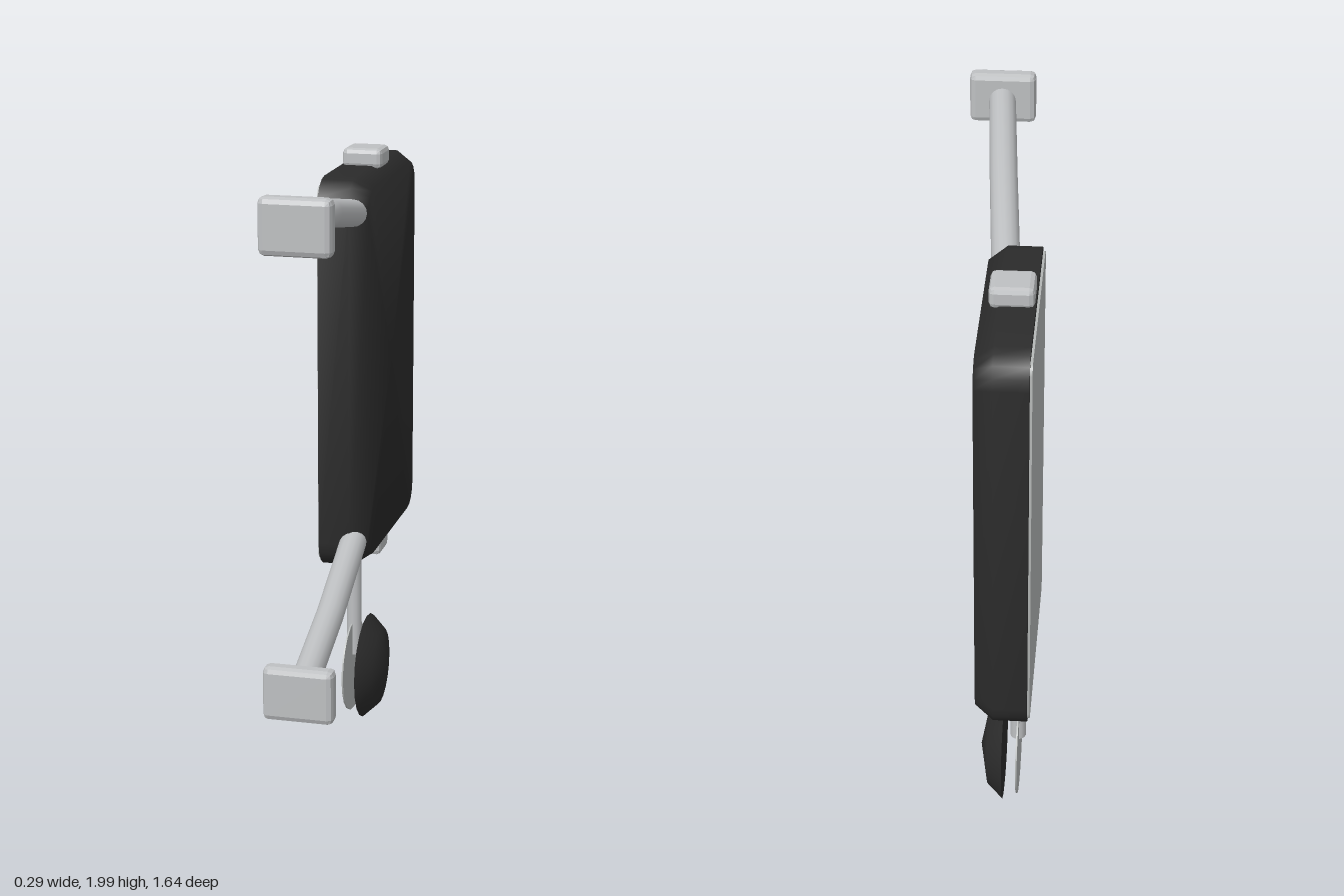
import * as THREE from 'three';
import { toCreasedNormals } from 'three/addons/utils/BufferGeometryUtils.js';
import { RoundedBoxGeometry } from 'three/addons/geometries/RoundedBoxGeometry.js';

const mat = (name, color) => {
  const m = new THREE.MeshStandardMaterial({ color });
  m.name = name;
  return m;
};

// Outline of a rounded rectangle, as [y, z] pairs around its centre
function roundedOutline(h, w, r, steps = 4) {
  const pts = [];
  for (let c = 0; c < 4; c++) {
    const sy = c === 0 || c === 3 ? 1 : -1;
    const sz = c < 2 ? 1 : -1;
    for (let i = 0; i <= steps; i++) {
      const a = (c + i / steps) * Math.PI / 2;
      pts.push([sy * (h / 2 - r) + r * Math.cos(a), sz * (w / 2 - r) + r * Math.sin(a)]);
    }
  }
  return pts;
}

// Shell lofted along x from rounded rectangles; sections are [x, inset]
function shellGeometry(h, w, r, sections) {
  const pos = [], idx = [];
  let n = 0;
  for (const [x, inset] of sections) {
    const loop = roundedOutline(h - 2 * inset, w - 2 * inset, r - inset * 0.4);
    n = loop.length;
    for (const [y, z] of loop) pos.push(x, y, z);
  }
  const last = sections.length - 1;
  for (let s = 0; s < last; s++) {
    for (let i = 0; i < n; i++) {
      const a = s * n + i, b = s * n + (i + 1) % n;
      idx.push(a, b, a + n, b, b + n, a + n);
    }
  }
  const back = pos.length / 3;
  pos.push(sections[0][0], 0, 0, sections[last][0], 0, 0);
  for (let i = 0; i < n; i++) {
    const j = (i + 1) % n;
    idx.push(back, j, i, back + 1, last * n + i, last * n + j);
  }
  const g = new THREE.BufferGeometry();
  g.setAttribute('position', new THREE.Float32BufferAttribute(pos, 3));
  g.setIndex(idx);
  return toCreasedNormals(g, 1.1);
}

// Box with flat chamfered edges
function chamferBox(w, h, d, r) {
  const g = new RoundedBoxGeometry(w, h, d, 1, r);
  g.computeVertexNormals();
  return g;
}

export function createModel() {
  const root = new THREE.Group();
  root.name = 'sideMirror';
  const black = mat('black plastic', 0x2b2b2b);
  const metal = mat('silver metal', 0xbec0c2);
  const glass = mat('mirror glass', 0xb4b7b6);

  const add = (name, geometry, material, x, y, z) => {
    const m = new THREE.Mesh(geometry, material);
    m.name = name;
    m.position.set(x, y, z);
    root.add(m);
    return m;
  };

  // Main housing and its glass
  add('housing', shellGeometry(1.28, 0.725, 0.09, [[-0.141, 0], [-0.04, 0], [0.015, 0.035]]),
    black, 0, 1.25, -0.462);
  add('mainGlass', shellGeometry(1.23, 0.675, 0.03, [[-0.148, 0], [-0.14, 0]]), glass, 0, 1.25, -0.462);

  // Clips above and below the housing
  for (const [name, y] of [['topClip', 1.912], ['bottomClip', 0.6]]) {
    add(name, chamferBox(0.13, 0.064, 0.124, 0.016), metal, -0.073, y, -0.462);
  }

  // Bent arms with mounting feet
  const arms = [
    ['upper', 1.918, [1.915, 1.868, 1.785]],
    ['lower', 0.545, [0.545, 0.614, 0.708]],
  ];
  for (const [name, footY, [y0, y1, y2]] of arms) {
    const path = new THREE.CatmullRomCurve3([
      new THREE.Vector3(0.04, y0, 0.768),
      new THREE.Vector3(0.005, y1, 0.31),
      new THREE.Vector3(-0.032, y2, -0.135),
    ]);
    add(name + 'Arm', new THREE.TubeGeometry(path, 2, 0.043, 16), metal, 0, 0, 0);
    add(name + 'Foot', chamferBox(0.212, 0.165, 0.062, 0.018), metal, 0.039, footY, 0.789);
  }

  // Small round mirror: stem, glass disc and domed cover
  add('stem', new THREE.CylinderGeometry(0.025, 0.025, 0.345, 12), metal, -0.09, 0.398, -0.372);
  const disc = add('roundGlass', new THREE.CylinderGeometry(0.157, 0.157, 0.005, 20), glass, -0.092, 0.183, -0.372);
  disc.rotation.z = -Math.PI / 2;
  const profile = [[0, -0.046], [0.177, -0.046], [0.13, 0.003], [0, 0.028]]
    .map(([r, x]) => new THREE.Vector2(r, x));
  const dome = add('roundCover', toCreasedNormals(new THREE.LatheGeometry(profile, 20), 0.9),
    black, 0, 0.183, -0.372);
  dome.rotation.z = -Math.PI / 2;

  return root;
}
